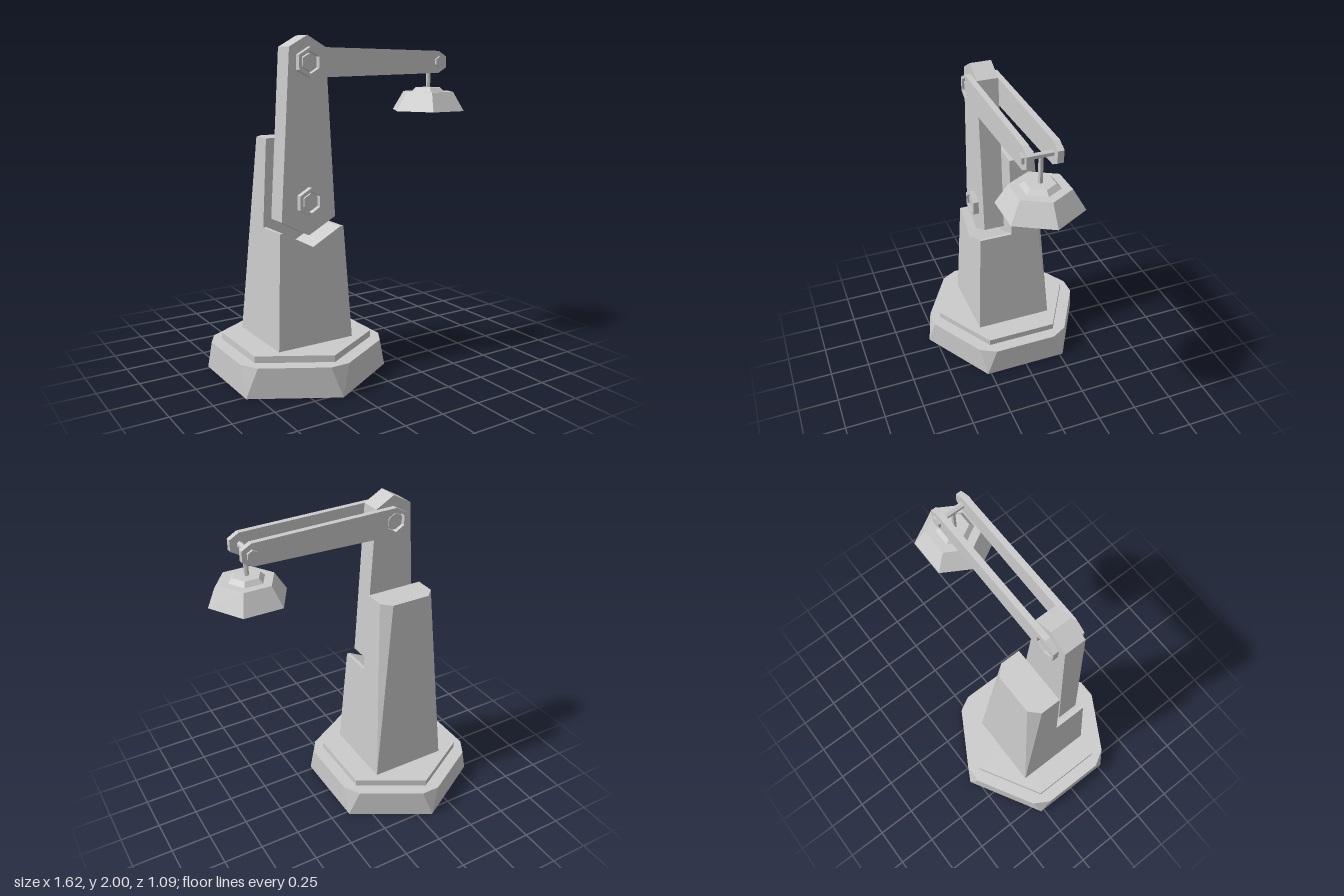
import * as THREE from 'three';
import { ConvexGeometry } from 'three/addons/geometries/ConvexGeometry.js';

const CX = -0.34;      // axis of base and tower
const ARM_Z = 0.105;   // middle plane of the arms
const TIP_X = 0.57;    // axis of the lamp
const PIVOT_Y = 1.85;

export function createModel() {
  const model = new THREE.Group();
  const mat = new THREE.MeshStandardMaterial({ color: 0xcccccc, flatShading: true });

  const add = (name, geometry, x = 0, y = 0, z = 0) => {
    const mesh = new THREE.Mesh(geometry, mat);
    mesh.name = name;
    mesh.position.set(x, y, z);
    model.add(mesh);
    return mesh;
  };
  const v3 = (x, y, z) => new THREE.Vector3(x, y, z);
  const v2 = (x, y) => new THREE.Vector2(x, y);
  // pointed-top hexagon outline
  const hex = (r, x = 0, y = 0) => Array.from({ length: 6 }, (_, i) => {
    const a = Math.PI / 2 + i * Math.PI / 3;
    return v2(x + r * Math.cos(a), y + r * Math.sin(a));
  });
  const slab = (points, depth, holes = []) => {
    const shape = new THREE.Shape(points);
    holes.forEach(h => shape.holes.push(new THREE.Path(h)));
    return new THREE.ExtrudeGeometry(shape, { depth, bevelEnabled: false });
  };
  // hexagonal frustum, standing upright
  const frustum = (rTop, rBottom, h) => new THREE.CylinderGeometry(rTop, rBottom, h, 6);

  // Foot: full hexagon below, corners cut off at the top
  const foot = [];
  const corners = hex(0.545);
  corners.forEach((c, i) => {
    foot.push(v3(c.x, 0, c.y));
    for (const n of [corners[(i + 1) % 6], corners[(i + 5) % 6]]) {
      const p = c.clone().lerp(n, 0.125);
      foot.push(v3(p.x, 0.18, p.y));
    }
  });
  add('foot', new ConvexGeometry(foot), CX);
  add('footPlate', frustum(0.455, 0.455, 0.04), CX, 0.2);

  // Rear tower half: tapered, with back corners cut towards the top
  const b = 0.2475, t = 0.1825, c = 0.125;
  const rear = [];
  for (const s of [-1, 1]) {
    rear.push(v3(s * b, 0.22, 0), v3(s * b, 0.22, -b),
      v3(s * t, 1.42, 0), v3(s * t, 1.42, -c), v3(s * c, 1.42, -t));
  }
  add('towerBack', new ConvexGeometry(rear), CX);

  // Front tower half: lower, with a V notch under the upright arm
  const half = y => b - (y - 0.22) * (b - t) / 1.2;
  const front = slab([
    v2(-half(0.22), 0.22), v2(half(0.22), 0.22), v2(half(0.9), 0.9), v2(0.19, 0.9),
    v2(0, 0.8), v2(-0.19, 0.9), v2(-half(0.9), 0.9)], 1);
  const pos = front.attributes.position;
  for (let i = 0; i < pos.count; i++) pos.setZ(i, pos.getZ(i) * half(pos.getY(i)));
  front.computeVertexNormals();
  add('towerFront', front, CX);

  // Upright arm
  add('uprightArm', slab([
    v2(-0.178, 0.955), v2(0, 0.86), v2(0.178, 0.955),
    v2(0.117, 1.935), v2(0, 2), v2(-0.117, 1.935)], 0.13), CX, 0, ARM_Z - 0.065);

  // Paired side parts: boom plates, lower nuts and recessed bolts
  const big = hex(0.085, CX, PIVOT_Y), small = hex(0.067, TIP_X, PIVOT_Y);
  const boom = [big[0], big[1], big[2], big[3], small[3], small[4], small[5], small[0]];
  for (const s of [1, -1]) {
    const side = s > 0 ? 'Front' : 'Back';
    const z = s > 0 ? ARM_Z + 0.065 : ARM_Z - 0.1;
    add('boomPlate' + side, slab(boom, 0.035, [hex(0.063, CX, PIVOT_Y)]), 0, 0, z);
    add('lowerNut' + side, slab(hex(0.085, CX, 1.06), 0.035, [hex(0.063, CX, 1.06)]), 0, 0, z);
    for (const [name, y] of [['upperBolt', PIVOT_Y], ['lowerBolt', 1.06]]) {
      add(name + side, slab(hex(0.05), 0.025), CX, y, s > 0 ? z : z + 0.01);
    }
    add('tipBolt' + side, slab(hex(0.034), 0.015), TIP_X, PIVOT_Y, s > 0 ? ARM_Z + 0.1 : ARM_Z - 0.115);
  }

  // Crossbar and hanging rod at the tip
  const bar = frustum(0.018, 0.018, 0.14);
  bar.rotateX(Math.PI / 2);
  add('crossbar', bar, TIP_X, PIVOT_Y, ARM_Z);
  add('hangingRod', frustum(0.014, 0.014, 0.17), TIP_X, 1.765, ARM_Z);

  // Lamp
  const lampPart = (name, rTop, rBottom, y0, y1) => {
    add(name, frustum(rTop, rBottom, y1 - y0), TIP_X, (y0 + y1) / 2, ARM_Z).rotation.y = Math.PI / 2;
  };
  lampPart('lampShade', 0.167, 0.24, 1.55, 1.667);
  lampPart('lampCap', 0.083, 0.11, 1.667, 1.693);

  return model;
}
